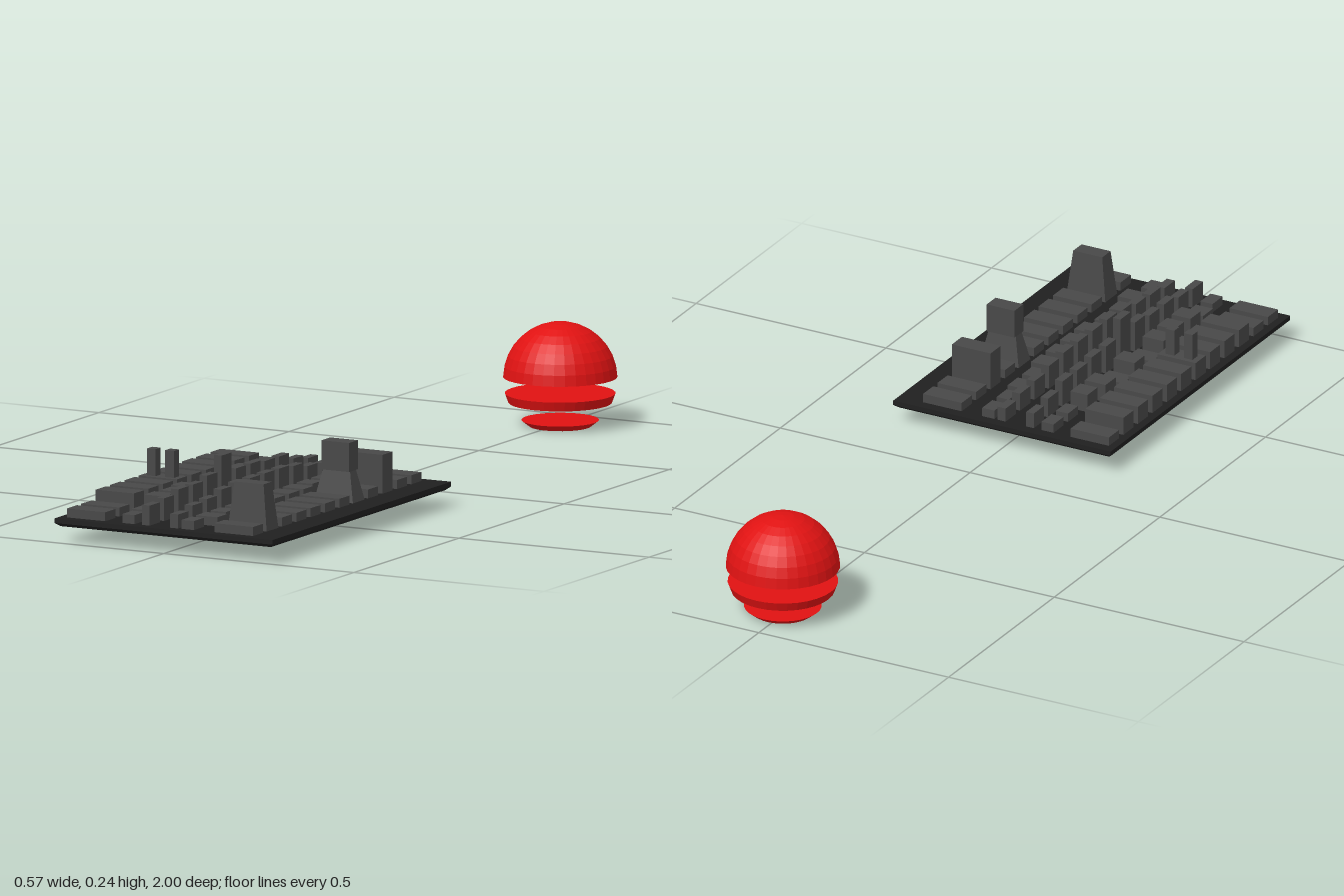
import * as THREE from 'three';

const GROUND = 0.057; // top of the city slab
const red = new THREE.MeshStandardMaterial({ color: 0xe01212, flatShading: true });
const slabGrey = new THREE.MeshStandardMaterial({ color: 0x202020, flatShading: true });
const towerGrey = new THREE.MeshStandardMaterial({ color: 0x484848, flatShading: true });

// Box whose foot or head can be narrowed by [x, z] factors
function taperedBox(w, h, d, foot = [1, 1], head = [1, 1]) {
  const g = new THREE.BoxGeometry(w, h, d);
  const p = g.attributes.position;
  for (let i = 0; i < p.count; i++) {
    const f = p.getY(i) < 0 ? foot : head;
    p.setX(i, p.getX(i) * f[0]);
    p.setZ(i, p.getZ(i) * f[1]);
  }
  g.computeVertexNormals();
  return g;
}

// Adds a block spanning x0..x1 and y0..y1, centred on z
function addBlock(parent, name, x0, x1, y0, y1, z, depth, foot, head, mat = towerGrey) {
  const m = new THREE.Mesh(taperedBox(x1 - x0, y1 - y0, depth, foot, head), mat);
  m.position.set((x0 + x1) / 2, (y0 + y1) / 2, z);
  m.name = name;
  parent.add(m);
}

// Slice of a sphere between two heights, closed by flat discs
function sphereSlice(name, y0, y1, steps) {
  const R = 0.132, cy = 0.111;
  const a0 = Math.asin(Math.max(-1, (y0 - cy) / R));
  const a1 = Math.asin(Math.min(1, (y1 - cy) / R));
  const pts = [new THREE.Vector2(0, y0)];
  for (let i = 0; i <= steps; i++) {
    const a = a0 + (a1 - a0) * i / steps;
    pts.push(new THREE.Vector2(Math.max(0, R * Math.cos(a)), cy + R * Math.sin(a)));
  }
  if (pts[pts.length - 1].x > 0.001) pts.push(new THREE.Vector2(0, y1));
  const m = new THREE.Mesh(new THREE.LatheGeometry(pts, 32), red);
  m.name = name;
  return m;
}

export function createModel() {
  const model = new THREE.Group();

  // Sun cut into three slices
  const sun = new THREE.Group();
  sun.name = 'sun';
  sun.add(sphereSlice('sunDome', 0.115, 0.243, 8));
  sun.add(sphereSlice('sunBand', 0.055, 0.077, 1));
  sun.add(sphereSlice('sunBase', 0, 0.014, 1));
  sun.position.set(0.01, 0, -0.868);
  model.add(sun);

  const city = new THREE.Group();
  city.name = 'city';
  model.add(city);

  // Slab with a bevelled underside
  addBlock(city, 'slabTop', -0.287, 0.286, 0.046, GROUND, 0.575, 0.85, undefined, undefined, slabGrey);
  addBlock(city, 'slabBevel', -0.287, 0.286, 0.038, 0.046, 0.575, 0.85, [0.965, 0.976], undefined, slabGrey);

  // Rows of blocks, from the back row to the front row
  const innerLeft = [-0.122, -0.122, -0.135, -0.145, -0.152, -0.145, -0.152, -0.145, -0.135, -0.14, -0.135, -0.122];
  const innerRight = [0.066, 0.066, 0.075, 0.075, 0.09, 0.09, 0.09, 0.09, 0.075, 0.075, 0.09, 0.066];
  const leftH = [0.078, 0.1, 0.1, 0.1, 0.1, 0.1, 0.1, 0.1, 0.1, 0.1, 0.078, 0.078];
  const innerH = [0.078, 0.078, 0.1, 0.1, 0.078, 0.1, 0.078, 0.1, 0.1, 0.1, 0.078, 0.078];
  const thinLeftH = [0.094, 0.104, 0.12, 0.12, 0.125, 0.125, 0.166, 0.13, 0.12, 0.12, 0.11, 0.104];
  const thinRightH = [0.09, 0.1, 0.104, 0.115, 0.12, 0.12, 0.12, 0.12, 0.115, 0.104, 0.1, 0.09];
  const rightH = [0.078, 0.078, 0.148, 0.078, 0, 0.078, 0.078, 0.078, 0.078, 0.078, 0, 0.078];

  for (let i = 0; i < 12; i++) {
    const z = 0.2 + i * 0.0684, d = 0.048;
    const block = (name, x0, x1, top) => addBlock(city, name, x0, x1, GROUND, top, z, d);
    block('leftBlock', -0.268, -0.167, leftH[i]);
    block('innerLeftBlock', innerLeft[i], -0.09, innerH[i]);
    block('thinLeftTower', -0.07, -0.05, thinLeftH[i]);
    block('thinRightTower', 0.004, 0.025, thinRightH[i]);
    block('innerRightBlock', 0.034, innerRight[i], 0.078);
    if (rightH[i]) block('rightBlock', 0.12, 0.222, rightH[i]);

    if (i === 6) { // twin chimneys
      addBlock(city, 'chimney', -0.253, -0.23, 0.1, 0.163, z, 0.024);
      addBlock(city, 'chimney', -0.205, -0.182, 0.1, 0.163, z, 0.024);
    }
    if (i === 4) { // flared tower with an overhanging head
      addBlock(city, 'flaredTowerBase', 0.12, 0.222, GROUND, 0.128, z, 0.056, undefined, [0.7, 0.5]);
      addBlock(city, 'flaredTowerHead', 0.135, 0.208, 0.128, 0.196, z, 0.042);
    }
    if (i === 10) { // tapered tower
      addBlock(city, 'taperedTower', 0.12, 0.222, GROUND, 0.165, z, 0.056, undefined, [0.75, 0.7]);
    }
  }
  return model;
}
